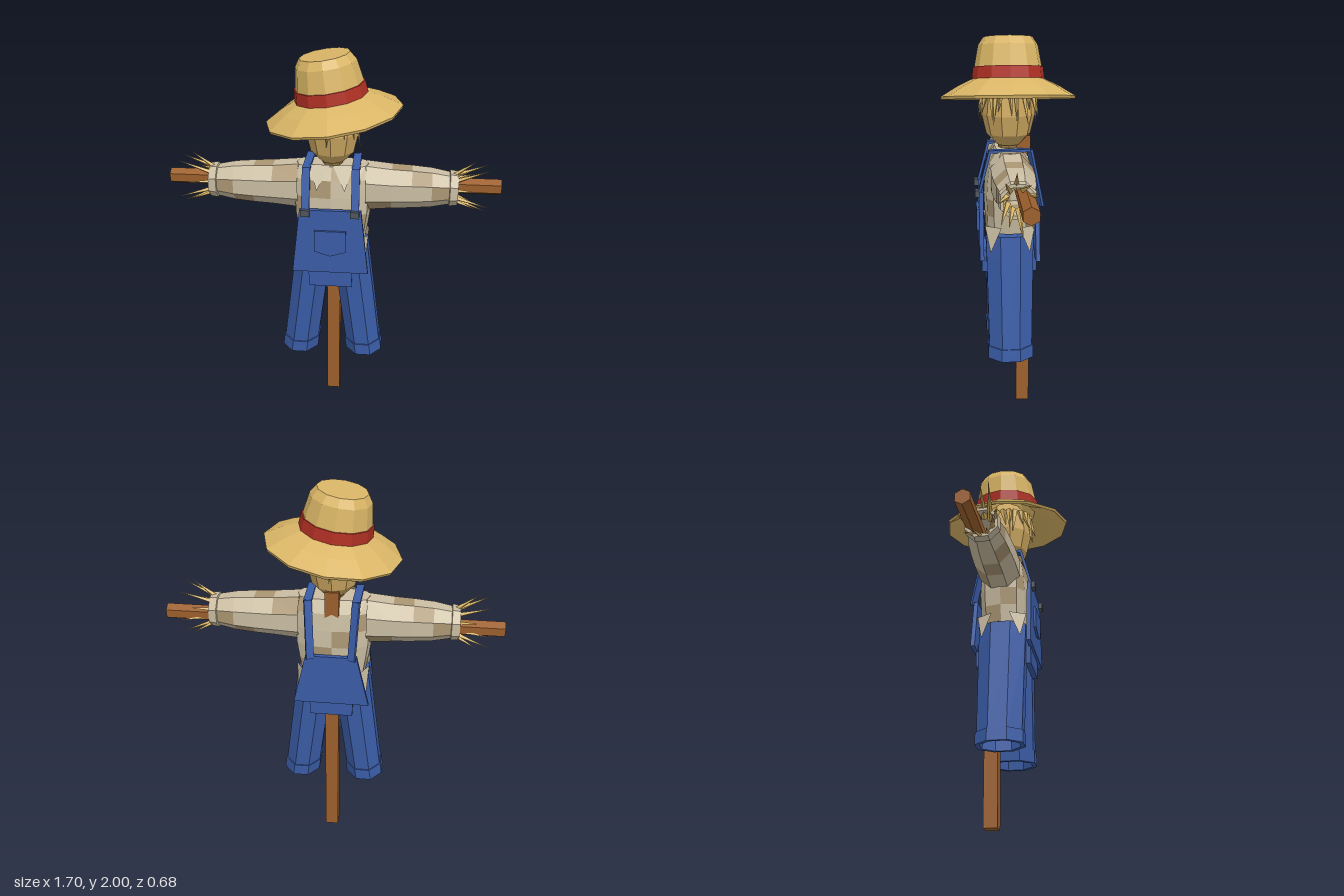
import * as THREE from 'three';

const mat = (name, color, side = THREE.FrontSide) => {
  const m = new THREE.MeshStandardMaterial({ color, side });
  m.name = name;
  return m;
};
const straw = mat('straw', 0xd9b566);
const burlap = mat('burlap', 0xd0aa62);
const rope = mat('rope', 0x9a7b45);
const red = mat('ribbon red', 0xb03024);
const wood = mat('wood', 0x9c5f2c);
const denim = mat('denim', 0x3a5ca6);
const shirt = mat('shirt cloth', 0xcabda2, THREE.DoubleSide);
const patch = mat('shirt check', 0xab9673, THREE.DoubleSide);
const metal = mat('buckle metal', 0x50565e);

export function createModel() {
  const model = new THREE.Group();
  model.name = 'scarecrow';

  // faceted mesh
  const add = (name, geo, material, parent = model) => {
    const g = geo.index ? geo.toNonIndexed() : geo;
    g.computeVertexNormals();
    const m = new THREE.Mesh(g, material);
    m.name = name;
    parent.add(m);
    return m;
  };
  // ring around y; power below 1 squares it off
  const ring = (x, y, z, rx, rz, n, power = 1, turn = 0) => Array.from({ length: n }, (_, j) => {
    const a = ((j + turn) / n) * Math.PI * 2;
    const f = v => Math.sign(v) * Math.abs(v) ** power;
    return [x + rx * f(Math.sin(a)), y, z + rz * f(Math.cos(a))];
  });
  // skin over rings; pick(i, j) true puts a quad in the second material group
  const loft = (rings, pick = () => false) => {
    const parts = [[], []];
    for (let i = 0; i < rings.length - 1; i++) {
      const n = rings[i].length;
      for (let j = 0; j < n; j++) {
        const k = (j + 1) % n;
        const [a, b, c, d] = [rings[i][j], rings[i][k], rings[i + 1][k], rings[i + 1][j]];
        parts[pick(i, j) ? 1 : 0].push(...a, ...b, ...c, ...a, ...c, ...d);
      }
    }
    const g = new THREE.BufferGeometry();
    g.setAttribute('position', new THREE.Float32BufferAttribute(parts.flat(), 3));
    g.addGroup(0, parts[0].length / 3, 0);
    g.addGroup(parts[0].length / 3, parts[1].length / 3, 1);
    return g;
  };
  const triangle = (name, pts, material) => {
    const g = new THREE.BufferGeometry();
    g.setAttribute('position', new THREE.Float32BufferAttribute(pts.flat(), 3));
    return add(name, g, material);
  };
  const slab = (name, pts, z, depth, material) => {
    const shape = new THREE.Shape(pts.map(p => new THREE.Vector2(...p)));
    const m = add(name, new THREE.ExtrudeGeometry(shape, { depth, bevelEnabled: false }), material);
    m.position.z = z;
    return m;
  };
  // aim a y-aligned geometry from a to b
  const between = (name, a, b, makeGeo, material) => {
    const A = new THREE.Vector3(...a), B = new THREE.Vector3(...b);
    const m = add(name, makeGeo(A.distanceTo(B)), material);
    m.position.copy(A).add(B).multiplyScalar(0.5);
    m.quaternion.setFromUnitVectors(new THREE.Vector3(0, 1, 0), B.sub(A).normalize());
    return m;
  };
  const spike = (name, a, b, r) => between(name, a, b, h => new THREE.ConeGeometry(r, h, 4), straw);
  const checked = (i, j) => (i * 5 + j * 3) % 4 === 0;

  // wooden frame
  add('post', new THREE.BoxGeometry(0.07, 1.5, 0.07), wood).position.set(0, 0.75, -0.075);
  const bar = new THREE.CylinderGeometry(0.042, 0.042, 1.7, 6).rotateY(Math.PI / 6).rotateZ(Math.PI / 2);
  add('crossbar', bar, wood).position.set(0, 1.318, -0.045);

  // shirt body, closed at the shoulders
  const body = [[1.02, 0.168, 0.12], [1.11, 0.183, 0.124], [1.2, 0.196, 0.128], [1.29, 0.2, 0.122],
    [1.38, 0.2, 0.11], [1.44, 0.18, 0.07], [1.44, 0.001, 0.001]];
  add('shirtBody', loft(body.map(([y, x, z]) => ring(0, y, 0, x, z, 12, 0.6)),
    (i, j) => i < 5 && checked(i, j)), [shirt, patch]);

  for (const s of [-1, 1]) {
    // sleeve with turned cuff
    const arm = new THREE.Group();
    arm.name = s > 0 ? 'leftArm' : 'rightArm';
    arm.position.set(0, 1.32, -0.006);
    arm.rotation.z = -s * Math.PI / 2;
    model.add(arm);
    const tube = list => list.map(([t, r, w = r]) => ring(0, t, 0, r * 1.08, w * 1.08, 8, 1, 0.5));
    add('sleeve', loft(tube([[0.17, 0.118, 0.105], [0.3, 0.105], [0.4, 0.1], [0.5, 0.092], [0.6, 0.074]]),
      checked), [shirt, patch], arm);
    add('sleeveCuff', loft(tube([[0.585, 0.07], [0.59, 0.085], [0.63, 0.08], [0.63, 0.064], [0.56, 0.06]])),
      [shirt, patch], arm);

    // straw hand
    for (let i = 0; i < 10; i++) {
      const a = (i + 0.3) / 10 * Math.PI * 2, c = Math.cos(a), d = Math.sin(a);
      const out = 0.1 + 0.03 * (i * 3 % 4) * Math.abs(d) ** 0.5 * 0.8;
      spike('handStraw', [s * 0.58, 1.32 + d * 0.05, -0.006 + c * 0.05],
        [s * (0.72 + 0.03 * (i * 2 % 4)), 1.32 + d * out * 1.05, -0.006 + c * 0.095], 0.016);
    }

    // trouser leg, open at the cuff
    const leg = [[0.46, 0.08, 0.095], [0.355, 0.08, 0.095], [0.355, 0.097, 0.117], [0.42, 0.097, 0.117],
      [0.42, 0.092, 0.111], [0.9, 0.093, 0.12], [1.01, 0.093, 0.122], [1.01, 0.001, 0.001]];
    add('trouserLeg', loft(leg.map(([y, x, z]) =>
      ring(s * (0.092 + (1.01 - y) * 0.128), y, 0, x * 1.08, z * 1.08, 8, 1, 0.5))), [denim, denim]);

    // shirt tails and collar
    for (const f of [-1, 1]) {
      triangle('shirtTail', [[s * 0.188, 1.06, f * 0.045], [s * 0.145, 1.06, f * 0.127],
        [s * 0.178, 0.925, f * 0.1]], shirt);
    }
    triangle('collarFlap', [[s * 0.005, 1.45, 0.07], [s * 0.11, 1.45, 0.065], [s * 0.07, 1.335, 0.132]], shirt);

    // strap over the shoulder
    const path = [[0.125, 1.215, 0.158], [0.123, 1.44, 0.1], [0.12, 1.445, -0.1], [0.105, 1.155, -0.16]];
    for (let i = 0; i < 3; i++) {
      const [a, b] = [path[i], path[i + 1]].map(([x, y, z]) => [s * x, y, z]);
      between('strap', a, b, h => new THREE.BoxGeometry(0.04, h + 0.008, 0.014), denim);
    }
    add('buckle', new THREE.BoxGeometry(0.045, 0.035, 0.02), metal).position.set(s * 0.124, 1.228, 0.165);
  }

  // overall panels
  const trapezoid = (y0, w0, y1, w1) => [[-w0, y0], [w0, y0], [w1, y1], [-w1, y1]];
  slab('bib', trapezoid(0.89, 0.195, 1.24, 0.155), 0.134, 0.022, denim);
  slab('backPanel', trapezoid(0.88, 0.195, 1.16, 0.13), -0.152, 0.022, denim);
  slab('frontSeat', trapezoid(0.8, 0.11, 0.92, 0.115), 0.115, 0.028, denim);
  slab('backSeat', trapezoid(0.8, 0.11, 0.92, 0.115), -0.14, 0.028, denim);
  slab('bibPocket', [[-0.08, 1.015], [0, 0.99], [0.08, 1.015], [0.08, 1.13], [-0.08, 1.13]], 0.156, 0.012, denim);

  // head and neck
  add('neck', new THREE.CylinderGeometry(0.052, 0.052, 0.06, 8), rope).position.y = 1.44;
  const head = [[1.455, 0.001], [1.455, 0.06], [1.51, 0.112], [1.61, 0.136], [1.7, 0.128], [1.79, 0.09], [1.79, 0.001]];
  add('head', loft(head.map(([y, r]) => ring(0, y, 0, r, r, 10))), [burlap, burlap]);

  // hair fringe
  for (let i = 0; i < 24; i++) {
    const a = i / 24 * Math.PI * 2, sx = Math.sin(a), cz = Math.cos(a);
    const tip = 0.14 + 0.012 * (i * 5 % 3);
    const sway = 0.02 * ((i * 3 % 5) - 2) / 2;
    spike('hairStraw', [sx * 0.127, 1.74 + sx * 0.02, cz * 0.127],
      [sx * tip + cz * sway, 1.56 + 0.025 * (i * 7 % 4), cz * tip - sx * sway], 0.018);
  }

  // tilted hat
  const hat = new THREE.Group();
  hat.name = 'hat';
  hat.position.set(0.005, 1.695, 0);
  hat.rotation.z = 0.155;
  model.add(hat);
  const lathe = pts => new THREE.LatheGeometry(pts.map(p => new THREE.Vector2(...p)), 12);
  add('hatShell', lathe([[0, 0.25], [0.13, 0.24], [0.16, 0.075], [0.25, 0.035], [0.335, -0.014], [0.341, 0],
    [0.255, 0.052], [0.175, 0.09], [0.17, 0.14], [0.15, 0.25], [0.124, 0.29], [0, 0.29]]), straw, hat);
  add('hatBand', lathe([[0.172, 0.086], [0.182, 0.086], [0.176, 0.145], [0.165, 0.145]]), red, hat);

  return model;
}
